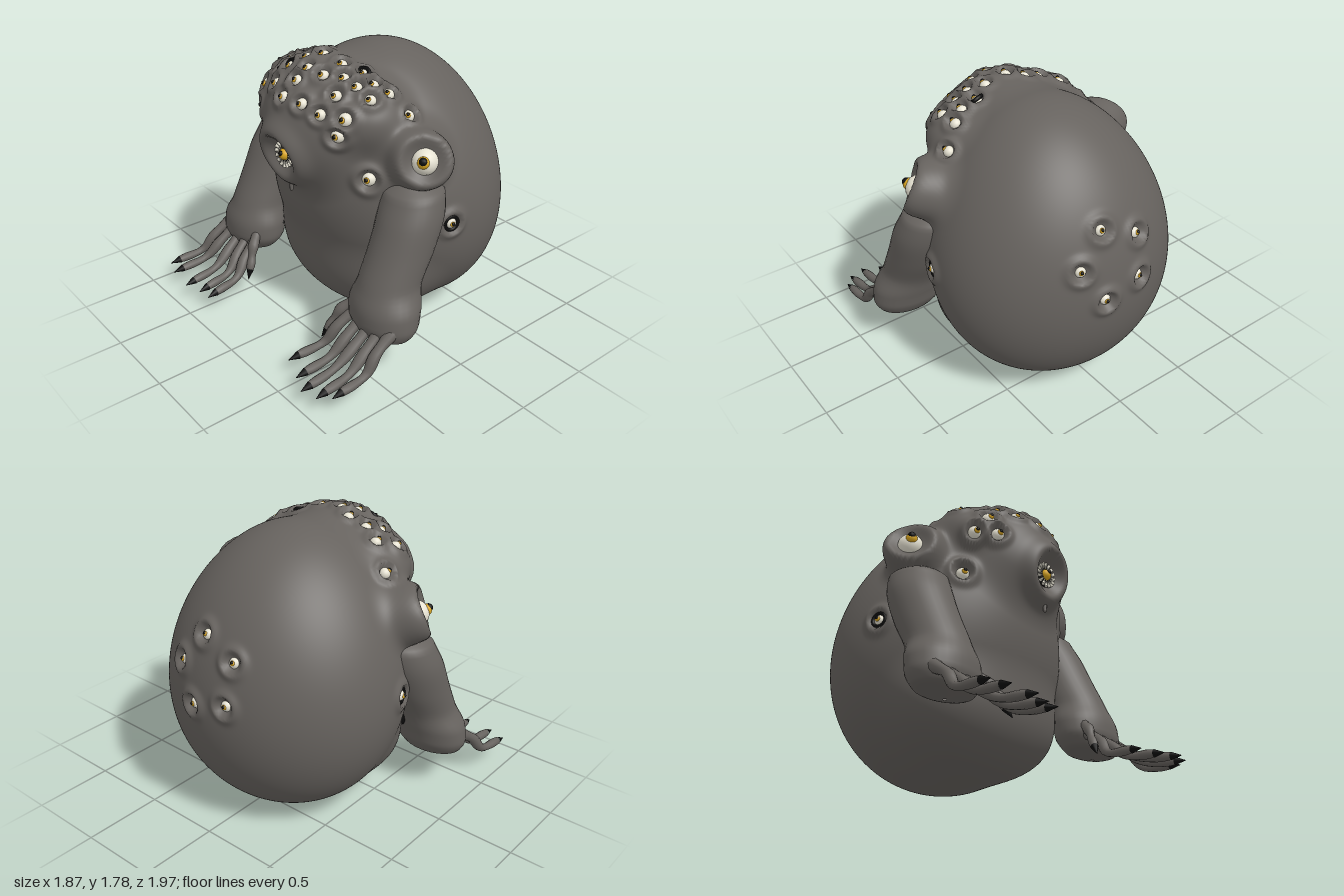
import * as THREE from 'three';
import { mergeVertices } from 'three/addons/utils/BufferGeometryUtils.js';

const V = (x, y, z) => new THREE.Vector3(x, y, z);
const mat = (name, color, side = THREE.FrontSide) => {
  const m = new THREE.MeshStandardMaterial({ color, side });
  m.name = name;
  return m;
};
const skin = mat('dark grey skin', 0x66625e, THREE.DoubleSide);
const white = mat('eye white', 0xe8e4d4);
const amber = mat('amber iris', 0xd9a520);
const black = mat('black', 0x0c0c0c);

function add(parent, name, geometry, material) {
  const m = new THREE.Mesh(geometry, material);
  m.name = name;
  parent.add(m);
  return m;
}

// Merge seams so that the normals come out smooth
function smooth(geometry) {
  geometry.deleteAttribute('uv');
  geometry.deleteAttribute('normal');
  const g = mergeVertices(geometry, 1e-4);
  g.computeVertexNormals();
  return g;
}

// Body volume: blended ellipsoids (centre x y z, radii x y z)
const trunk = [0, 0.885, -0.255, 0.77, 0.88, 0.705];
const blobs = [
  [0, 1.33, 0.2, 0.43, 0.43, 0.4],    // head
  [0, 0.44, -0.03, 0.64, 0.4, 0.4],   // lower belly
  ...[1, -1].flatMap(s => [
    [s * 0.5, 1.26, 0.03, 0.295, 0.19, 0.19], // side eye bulge
    [s * 0.3, 1.46, 0.17, 0.24, 0.19, 0.24],  // brow
  ]),
];
function ellipsoid(x, y, z, [cx, cy, cz, a, b, c]) {
  x = (x - cx) / a; y = (y - cy) / b; z = (z - cz) / c;
  const k = Math.hypot(x, y, z);
  return k * (k - 1) / (Math.hypot(x / a, y / b, z / c) + 1e-6);
}
function field(p) {
  const dy = p.y - 0.88;
  let f = ellipsoid(p.x / (1 - 0.15 * dy), p.y, p.z - 0.1 * dy, trunk);
  for (const b of blobs) {
    const g = ellipsoid(p.x, p.y, p.z, b);
    const h = Math.max(0.1 - Math.abs(f - g), 0) / 0.1;
    f = Math.min(f, g) - h * h * 0.025;
  }
  return f;
}
function normalAt(p) {
  const e = 0.01, d = (x, y, z) => field(p.clone().add(V(x, y, z))) - field(p.clone().sub(V(x, y, z)));
  return V(d(e, 0, 0), d(0, e, 0), d(0, 0, e)).normalize();
}
function hit(origin, dir) {
  const p = origin.clone();
  for (let i = 0; i < 1500 && field(p) > 0; i++) p.addScaledVector(dir, 0.002);
  return p;
}

// Eyes: ball radius r, socket radius R, forward turn of the gaze, sink depth in ball radii
const eyes = [];
function eye(origin, dir, r, R, forward = 0.5, sink = 0.5, lid = false) {
  const p = hit(origin, dir), n = normalAt(p);
  eyes.push({ p, r, R, n, sink, lid, gaze: n.clone().lerp(V(0, 0.1, 1), forward).normalize() });
}
const browEyes = [ // x, z seen from above, dark lid
  [-0.51, 0.03], [-0.37, 0.12], [-0.25, 0.18], [-0.13, 0.16], [-0.03, 0.22], [0.13, 0.21], [0.24, 0.14, true],
  [0.42, 0.1], [0.52, 0.03], [0.31, 0.25], [0.22, 0.27], [0.13, 0.35], [0.01, 0.37], [-0.1, 0.29],
  [-0.16, 0.37, true], [-0.25, 0.37], [-0.3, 0.26], [-0.44, 0.23], [-0.17, 0.47], [-0.02, 0.53],
  [0.13, 0.51], [0.25, 0.47], [0.27, 0.37], [0.42, 0.24], [0.34, 0.15], [0.01, 0.45],
];
const cheekEyes = [[-0.44, 1.4], [-0.33, 1.4], [0.36, 1.42], [-0.36, 1.52], [0.38, 1.52]];

function makeEyes() {
  for (const [x, z, lid] of browEyes) eye(V(x, 2, z), V(0, -1, 0), 0.035, 0.058, 0.5, 0.5, lid);
  for (const [x, y] of cheekEyes) eye(V(x, y, 1), V(0, 0, -1), 0.042, 0.066);
  for (const s of [1, -1]) {
    const out = V(s * 0.9, 0.2, 0.36).normalize(); // large side eyes, turned up and forward
    eye(V(s * 0.5, 1.255, 0.02).addScaledVector(out, 0.7), out.clone().negate(), 0.08, 0.145, 0.2, 0.85);
    eye(V(s * 0.46, 1.14, 1), V(0, 0, -1), 0.042, 0.075, 0.4, 0.6);   // lower cheek eyes
    eye(V(s * 1.2, 0.84, -0.11), V(-s, 0, 0), 0.036, 0.07, 0, 0.6, true); // flank eyes
  }
  for (let i = 0; i < 5; i++) { // ring of eyes on the back
    const a = i * Math.PI * 0.4 + 0.25;
    eye(V(0.04 + 0.22 * Math.sin(a), 1.04 + 0.22 * Math.cos(a), -1.5), V(0, 0, 1), 0.034, 0.07, 0, 0.85);
  }
}

// Field with every socket pressed in and its rim raised
function sculpted(p, sockets) {
  let f = field(p);
  for (const { p: e, R } of sockets) {
    const d = p.distanceTo(e) / R;
    if (d < 2.4) f += R * (0.75 * Math.exp(-2.7 * d * d) - 0.33 * Math.exp(-(((d - 1.05) / 0.4) ** 2)));
  }
  return f;
}
function bodyGeometry(sockets) {
  const g = new THREE.SphereGeometry(1, 240, 190).rotateX(0.9);
  const pos = g.attributes.position, centre = V(0, 0.95, -0.15), dir = V(), p = V();
  for (let i = 0; i < pos.count; i++) {
    dir.fromBufferAttribute(pos, i).normalize();
    let lo = 0.2, hi = 1.3;
    for (let k = 0; k < 16; k++) {
      const mid = (lo + hi) / 2;
      p.copy(centre).addScaledVector(dir, mid);
      if (sculpted(p, sockets) < 0) lo = mid; else hi = mid;
    }
    pos.setXYZ(i, p.x, p.y, p.z);
  }
  return smooth(g);
}

// Arm cross-sections: y, centre x, centre z, radius x, radius z
const armRings = [
  [1.14, 0.61, 0.08, 0.1, 0.1], [1.08, 0.62, 0.08, 0.185, 0.18], [0.93, 0.65, 0.13, 0.195, 0.2],
  [0.75, 0.66, 0.205, 0.19, 0.2], [0.58, 0.665, 0.29, 0.19, 0.19], [0.45, 0.675, 0.335, 0.24, 0.19],
  [0.36, 0.68, 0.35, 0.245, 0.18], [0.28, 0.69, 0.36, 0.2, 0.14], [0.23, 0.69, 0.37, 0.01, 0.01],
];
function armGeometry() {
  const centres = new THREE.CatmullRomCurve3(armRings.map(r => V(r[1], r[0], r[2])));
  const radii = new THREE.CatmullRomCurve3(armRings.map(r => V(r[3], 0, r[4])));
  const g = new THREE.CylinderGeometry(1, 1, 1, 32, 40, true), pos = g.attributes.position;
  for (let i = 0; i < pos.count; i++) {
    const t = 0.5 - pos.getY(i), c = centres.getPoint(t), r = radii.getPoint(t);
    pos.setXYZ(i, c.x + pos.getX(i) * r.x, c.y, c.z + pos.getZ(i) * r.z);
  }
  return smooth(g);
}

// Tube whose radius follows a rule along its length
function taperedTube(points, radius) {
  const curve = new THREE.CatmullRomCurve3(points), n = 16, sides = 10;
  const g = new THREE.TubeGeometry(curve, n, 1, sides), pos = g.attributes.position, v = V();
  for (let i = 0; i < pos.count; i++) {
    const t = Math.floor(i / (sides + 1)) / n, c = curve.getPointAt(t);
    v.fromBufferAttribute(pos, i).sub(c).multiplyScalar(radius(t)).add(c);
    pos.setXYZ(i, v.x, v.y, v.z);
  }
  return smooth(g);
}
function addFinger(hand, points) {
  const tip = points.at(-1), back = points.at(-2);
  const end = tip.clone().addScaledVector(tip.clone().sub(back).normalize(), 0.07);
  add(hand, 'finger', taperedTube(points, t => 0.039 - 0.016 * t + 0.004 * Math.cos(t * 14)), skin);
  add(hand, 'claw', taperedTube([tip, tip.clone().lerp(end, 0.5), end], t => 0.024 * (1 - t) + 0.001), black);
}

// Fingertips of each hand: distance from the middle, z
const leftTips = [[0.45, 0.81], [0.6, 0.87], [0.71, 0.92], [0.81, 0.89], [0.87, 0.82]];
const rightTips = [[0.42, 0.84], [0.51, 0.85], [0.63, 0.88], [0.81, 0.86], [0.92, 0.82]];
function makeArm(tips) {
  const arm = new THREE.Group();
  add(arm, 'armAndWrist', armGeometry(), skin);
  tips.forEach(([tx, tz], i) => {
    const bx = 0.53 + i * 0.08;
    const at = (k, y, z) => V(bx + (tx - bx) * k, y, z);
    addFinger(arm, [at(0, 0.36, 0.43), at(0.35, 0.27, 0.56), at(0.75, 0.17, tz - 0.18), at(1, 0.145, tz)]);
  });
  addFinger(arm, [V(0.53, 0.42, 0.42), V(0.47, 0.35, 0.5), V(0.44, 0.27, 0.54), V(0.42, 0.21, 0.57)]); // thumb
  // Dark crease where the inner arm meets the body
  add(arm, 'darkArmCrease', taperedTube(
    [V(0.45, 0.44, 0.27), V(0.5, 0.48, 0.21), V(0.58, 0.5, 0.14), V(0.62, 0.59, 0.09)],
    t => 0.004 + 0.04 * Math.sin(Math.PI * t)), black);
  return arm;
}

function makeEye({ p, r, n, gaze, sink, lid }) {
  const g = new THREE.Group();
  g.name = 'eye';
  add(g, 'eyeball', new THREE.SphereGeometry(r, 18, 12), white);
  add(g, 'iris', new THREE.SphereGeometry(r * 0.46, 14, 10), amber).position.z = r * 0.78;
  add(g, 'pupil', new THREE.SphereGeometry(r * 0.32, 12, 8), black).position.set(0, r * 0.08, r * 1.02);
  if (lid) add(g, 'darkLid', new THREE.TorusGeometry(r * 1.2, r * 0.36, 8, 24), black).position.z = r * 0.35;
  g.position.copy(p).addScaledVector(n, -r * sink);
  g.lookAt(g.position.clone().add(gaze));
  return g;
}

// Central eye: dark hollow ringed with small teeth
function makeCentralEye({ p }) {
  const g = new THREE.Group();
  g.name = 'centralEye';
  g.position.copy(p).add(V(0, 0, -0.065));
  add(g, 'darkHollow', new THREE.SphereGeometry(0.078, 24, 16), black).scale.z = 0.5;
  for (let i = 0; i < 16; i++) {
    const a = i * Math.PI / 8;
    const tooth = add(g, 'tooth', new THREE.ConeGeometry(0.0125, 0.05, 6), white);
    tooth.position.set(Math.cos(a) * 0.056, Math.sin(a) * 0.056, 0.034);
    tooth.rotation.z = a + Math.PI / 2;
  }
  add(g, 'iris', new THREE.SphereGeometry(0.036, 16, 12), amber).position.z = 0.03;
  add(g, 'pupil', new THREE.SphereGeometry(0.016, 12, 8), black).position.set(0, 0.012, 0.057);
  return g;
}

export function createModel() {
  const model = new THREE.Group();
  model.name = 'manyEyedCreature';
  eyes.length = 0;
  makeEyes();
  const centre = { p: hit(V(0.01, 1.22, 1), V(0, 0, -1)), R: 0.15 };
  add(model, 'body', bodyGeometry([...eyes, centre]), skin);
  for (const e of eyes) model.add(makeEye(e));
  model.add(makeCentralEye(centre));
  // Small flap hanging under the central eye
  const flap = add(model, 'chinFlap', new THREE.CapsuleGeometry(0.012, 0.06, 4, 8), skin);
  flap.position.copy(hit(V(0.03, 1.02, 1), V(0, 0, -1))).add(V(0, 0, 0.03));
  for (const s of [1, -1]) {
    const arm = makeArm(s > 0 ? leftTips : rightTips);
    arm.name = s > 0 ? 'leftArm' : 'rightArm';
    arm.scale.x = s;
    model.add(arm);
  }
  return model;
}
